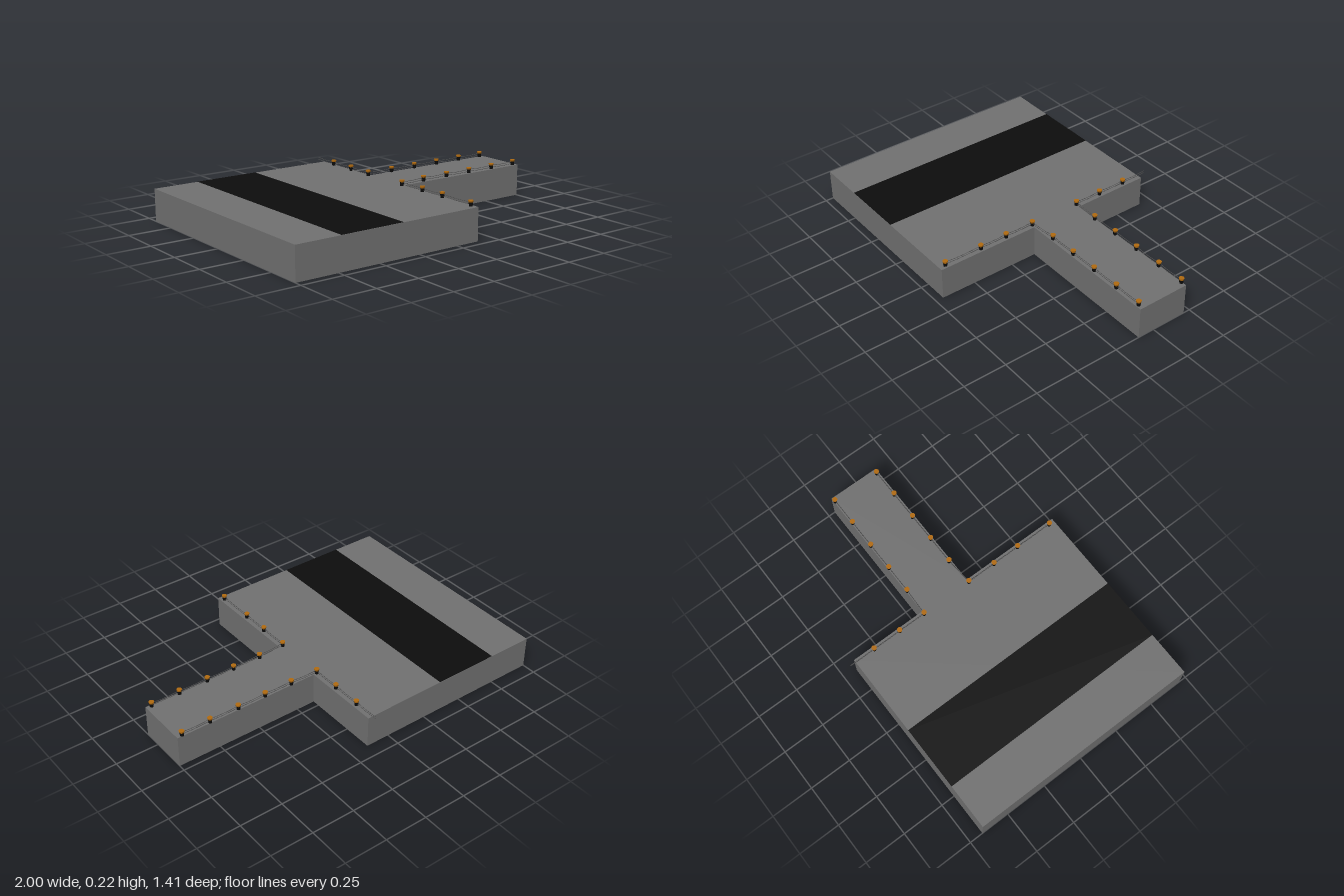
import * as THREE from 'three';

const TOP = 0.185;
const paint = (color) => new THREE.MeshStandardMaterial({ color });

export function createModel() {
  const model = new THREE.Group();
  const stone = paint(0x707070);
  const asphalt = paint(0x0d0d0d);
  const iron = paint(0x0a0a0a);
  const brass = paint(0xb06a10);
  const chain = paint(0x555555);

  const add = (parent, name, geometry, material, x = 0, y = 0, z = 0) => {
    const mesh = new THREE.Mesh(geometry, material);
    mesh.name = name;
    mesh.position.set(x, y, z);
    parent.add(mesh);
    return mesh;
  };

  // T-shaped quay with its pier, drawn in plan and extruded upwards
  const plan = new THREE.Shape([
    [-1, -0.705], [0.14, -0.705], [0.14, -0.1], [1, -0.1],
    [1, 0.21], [0.14, 0.21], [0.14, 0.67], [-1, 0.67],
  ].map(([x, y]) => new THREE.Vector2(x, y)));
  const slab = new THREE.ExtrudeGeometry(plan, { depth: TOP, bevelEnabled: false });
  slab.rotateX(-Math.PI / 2);
  add(model, 'quay', slab, stone);

  // Road strip across the quay
  const road = new THREE.PlaneGeometry(0.38, 1.375).rotateX(-Math.PI / 2);
  add(model, 'road', road, asphalt, -0.543, TOP + 0.001, 0.0175);

  // Bollard: flared dark shaft with a brass cap
  const shaft = new THREE.CylinderGeometry(0.012, 0.01, 0.022, 10);
  const cap = new THREE.CylinderGeometry(0.015, 0.013, 0.01, 10);
  const addBollard = (x, z) => {
    const bollard = new THREE.Group();
    bollard.name = 'bollard';
    bollard.position.set(x, TOP, z);
    add(bollard, 'shaft', shaft, iron, 0, 0.011, 0);
    add(bollard, 'cap', cap, brass, 0, 0.027, 0);
    model.add(bollard);
  };

  // Two slightly sagging chains between neighbouring points
  const addChains = ([x0, z0], [x1, z1]) => {
    for (const [y, sag] of [[0.208, 0.005], [0.195, 0.003]]) {
      const curve = new THREE.QuadraticBezierCurve3(
        new THREE.Vector3(x0, y, z0),
        new THREE.Vector3((x0 + x1) / 2, y - 2 * sag, (z0 + z1) / 2),
        new THREE.Vector3(x1, y, z1),
      );
      add(model, 'chain', new THREE.TubeGeometry(curve, 8, 0.0015, 5), chain);
    }
  };

  // Railings along the quay edge and both sides of the pier
  const pierXs = [0.285, 0.455, 0.625, 0.8, 0.97];
  const rows = [
    [[0.12, 0.668], [0.12, 0.441], [0.12, 0.275], [0.12, 0.098],
      ...pierXs.map((x) => [x, 0.086])],
    [[0.12, -0.547], [0.12, -0.376], [0.12, -0.21],
      ...pierXs.map((x) => [x, -0.204])],
  ];
  for (const row of rows) {
    row.forEach(([x, z], i) => {
      addBollard(x, z);
      if (i > 0) addChains(row[i - 1], row[i]);
    });
  }
  // Free end of the back railing
  addChains([0.12, -0.547], [0.12, -0.705]);

  return model;
}
